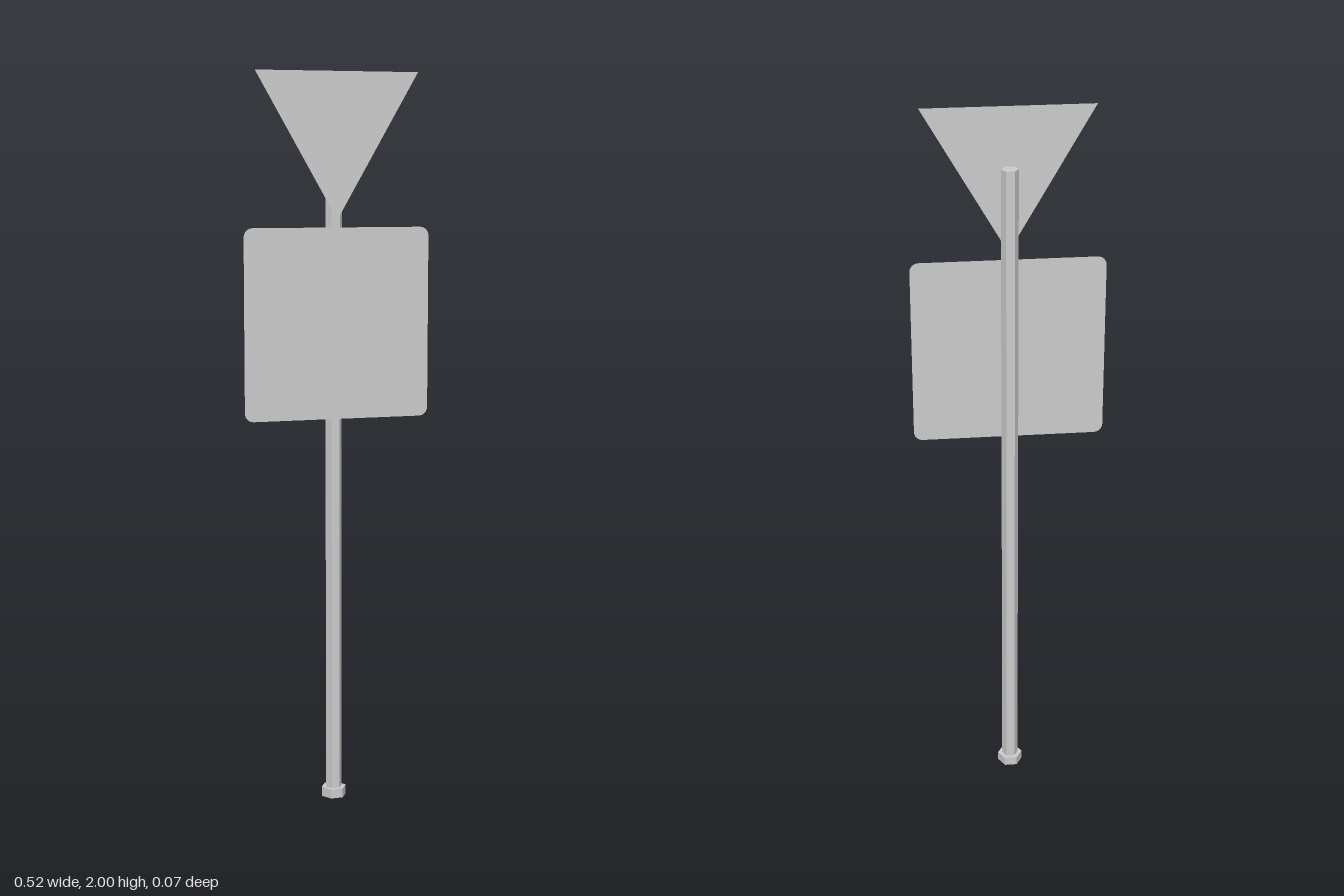
import * as THREE from 'three';

const POLE_Z = -0.002;
const SIGN_Z = 0.033;

export function createModel() {
  const model = new THREE.Group();
  model.name = 'signPost';
  const metal = new THREE.MeshStandardMaterial({ color: 0xcccccc, flatShading: true });
  const sheet = new THREE.MeshStandardMaterial({ color: 0xcccccc, side: THREE.DoubleSide });

  // Upright hexagonal prism with flat sides facing front and back
  function hexPrism(name, radius, bottom, top) {
    const geometry = new THREE.CylinderGeometry(radius, radius, top - bottom, 6, 1, false, Math.PI / 2);
    const mesh = new THREE.Mesh(geometry, metal);
    mesh.name = name;
    mesh.position.set(0, (bottom + top) / 2, POLE_Z);
    model.add(mesh);
  }

  // Thin sheet facing the front
  function panel(name, shape, y) {
    const mesh = new THREE.Mesh(new THREE.ShapeGeometry(shape, 3), sheet);
    mesh.name = name;
    mesh.position.set(0, y, SIGN_Z);
    model.add(mesh);
  }

  hexPrism('baseCollar', 0.035, 0, 0.026);
  hexPrism('pole', 0.0228, 0, 1.848);

  // Square board with small rounded corners
  const h = 0.258, r = 0.024;
  const board = new THREE.Shape();
  board.absarc(h - r, h - r, r, 0, Math.PI / 2);
  board.absarc(r - h, h - r, r, Math.PI / 2, Math.PI);
  board.absarc(r - h, r - h, r, Math.PI, Math.PI * 1.5);
  board.absarc(h - r, r - h, r, Math.PI * 1.5, Math.PI * 2);
  board.closePath();
  panel('squareBoard', board, 1.332);

  // Downward-pointing equilateral triangle
  const triangle = new THREE.Shape([
    new THREE.Vector2(0, -0.39),
    new THREE.Vector2(0.225, 0),
    new THREE.Vector2(-0.225, 0),
  ]);
  panel('triangleBoard', triangle, 2);

  return model;
}
